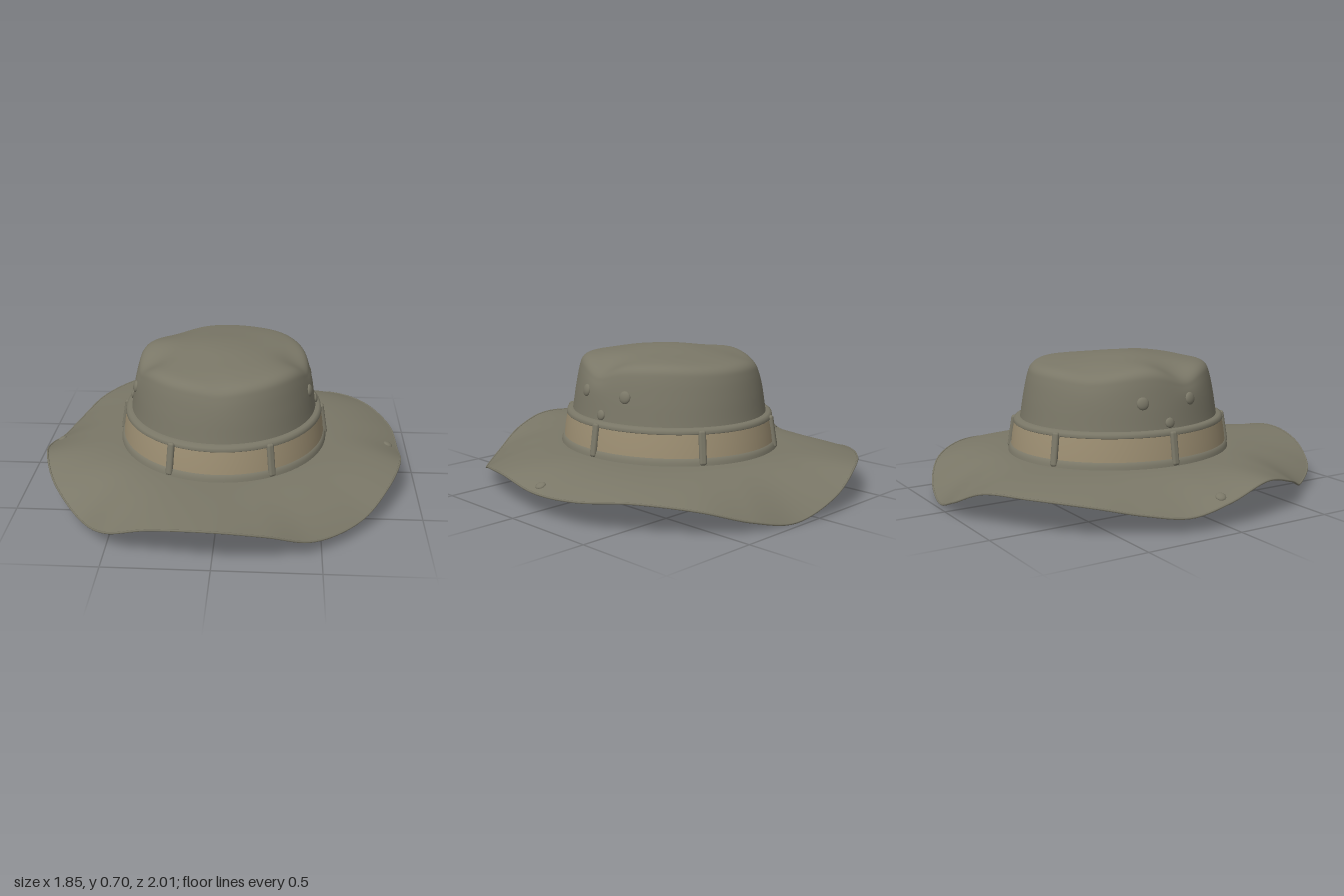
import * as THREE from 'three';
import { RoundedBoxGeometry } from 'three/addons/geometries/RoundedBoxGeometry.js';

const OVAL = 1.09; // head opening is longer front to back
const CZ = -0.02;

// Brim edge, counted from the front centre round by the left side
const EDGE = [
  [0, .2, 1], [.24, .155, .95], [.46, .075, .845], [.69, .07, .635], [.83, .13, .42], [.91, .155, .185],
  [.92, .12, -.05], [.9, .13, -.32], [.775, .15, -.58], [.59, .12, -.79], [.375, .05, -.91], [.14, .007, -.97],
  [-.12, .08, -1], [-.34, .165, -.95], [-.55, .17, -.82], [-.735, .145, -.61], [-.83, .1, -.4], [-.895, .075, -.2],
  [-.92, .12, 0], [-.89, .18, .24], [-.815, .13, .45], [-.655, .05, .66], [-.5, .09, .85], [-.29, .17, .95],
];

// Dents and bumps of the soft crown: x, z, height, spread
const DENTS = [
  [.42, .04, -.045, .08], [-.4, .1, -.045, .08], [0, .47, -.014, .07], [-.3, -.38, -.02, .1],
  [.3, -.3, .01, .12], [-.36, -.1, .012, .08], [.3, .3, .008, .1], [-.07, 0, .008, .12],
];

// Oval ring point at angle a (0 = front) and radius r
const oval = (a, r, y) => new THREE.Vector3(r * Math.sin(a), y, r * OVAL * Math.cos(a) + CZ);

// Closed surface of revolution-like rings: fn(u, v) gives each point
function ringSurface(nu, nv, fn) {
  const pos = [], idx = [];
  for (let j = 0; j <= nv; j++) {
    for (let i = 0; i < nu; i++) pos.push(...fn(i / nu, j / nv).toArray());
  }
  for (let j = 0; j < nv; j++) {
    for (let i = 0; i < nu; i++) {
      const k = (i + 1) % nu;
      const a = j * nu + i, b = j * nu + k, c = a + nu, d = b + nu;
      idx.push(a, b, c, b, d, c);
    }
  }
  const g = new THREE.BufferGeometry();
  g.setAttribute('position', new THREE.Float32BufferAttribute(pos, 3));
  g.setIndex(idx);
  g.computeVertexNormals();
  return g;
}

// Oval strip swept from a profile of [radius, y] points
function strip(profile) {
  const n = profile.length - 1;
  return ringSurface(96, n, (u, v) => oval(u * Math.PI * 2, ...profile[Math.round(v * n)]));
}

export function createModel() {
  const hat = new THREE.Group();
  hat.name = 'brimmedHat';
  const cloth = new THREE.MeshStandardMaterial({ name: 'oliveCloth', color: 0x7a7767, side: THREE.DoubleSide });
  const tan = new THREE.MeshStandardMaterial({ name: 'tanBand', color: 0x9c8e72, side: THREE.DoubleSide });

  const add = (name, geometry, material = cloth) => {
    const m = new THREE.Mesh(geometry, material);
    m.name = name;
    hat.add(m);
    return m;
  };

  // Wavy brim: flat at the crown, falling to the edge curve
  const edge = new THREE.CatmullRomCurve3(EDGE.map((p) => new THREE.Vector3(...p)), true);
  const brimPoint = (u, v) => {
    const e = edge.getPoint(u);
    const p = oval(Math.atan2(e.x, e.z - CZ), 0.51, 0.212).lerp(e, v);
    p.y = 0.212 + (e.y - 0.212) * Math.pow(v, 2.2);
    return p;
  };
  add('brim', ringSurface(192, 24, (u, v) => brimPoint(u, 1 - v)));
  add('brimEdge', new THREE.TubeGeometry(edge, 192, 0.005, 6, true));

  // Crown: tapered wall, rounded shoulder and dented dome
  const profile = new THREE.CatmullRomCurve3([
    [.51, .21], [.492, .3], [.478, .38], [.46, .5], [.44, .595], [.426, .632],
    [.4, .653], [.32, .671], [.2, .687], [.1, .697], [.0005, .7],
  ].map(([r, y]) => new THREE.Vector3(r, y, 0)));
  add('crown', ringSurface(128, 60, (u, v) => {
    const q = profile.getPoint(v);
    const p = oval(u * Math.PI * 2, q.x, q.y);
    const soft = THREE.MathUtils.smoothstep(q.y, 0.5, 0.64);
    for (const [x, z, h, s] of DENTS) {
      p.y += soft * h * Math.exp(-((p.x - x) ** 2 + (p.z - z) ** 2) / (2 * s * s));
    }
    return p;
  }));

  // Band with its lower and upper strips
  add('bandBase', strip([[.537, .207], [.534, .225], [.526, .245], [.51, .246]]));
  add('band', strip([[.523, .24], [.516, .3], [.505, .362]]), tan);
  add('bandTop', strip([[.506, .356], [.51, .36], [.506, .376], [.495, .382], [.477, .384]]));

  // Belt loops standing over the band
  for (const [x, z] of [[-.23, .49], [.26, .48], [-.23, -.52], [.26, -.5], [.51, -.03], [-.51, -.03]]) {
    const a = Math.atan2(x, (z - CZ) / OVAL);
    const loop = add('beltLoop', new RoundedBoxGeometry(0.036, 0.165, 0.026, 3, 0.012));
    loop.position.copy(oval(a, 0.52, 0.295));
    loop.rotation.order = 'YXZ';
    loop.rotation.set(-0.16, Math.atan2(Math.sin(a), Math.cos(a) / OVAL), 0);
  }

  // Domed studs, flattened along the surface normal
  const stud = (name, radius, position, normal) => {
    const m = add(name, new THREE.SphereGeometry(radius, 20, 12));
    m.scale.z = 0.45;
    m.position.copy(position);
    m.lookAt(position.clone().add(normal));
  };
  for (const side of [1, -1]) {
    const wallStud = (name, radius, r, y, z) => {
      const c = (z - CZ) / (OVAL * r), s = side * Math.sqrt(1 - c * c);
      stud(name, radius, new THREE.Vector3(r * s, y, z), new THREE.Vector3(s, 0.18, c / OVAL));
    };
    wallStud('ventEyelet', 0.031, 0.457, 0.512, 0.115);
    wallStud('ventEyelet', 0.031, 0.457, 0.512, -0.16);
    wallStud('sideKnob', 0.025, 0.476, 0.412, -0.028);
    // Snap near the brim edge
    const u = side > 0 ? 6 / 24 : 17.9 / 24;
    const v = 0.88;
    const p = brimPoint(u, v);
    const n = brimPoint(u + 0.01, v).sub(p).cross(brimPoint(u, v + 0.05).sub(p));
    if (n.y < 0) n.negate();
    stud('brimSnap', 0.025, p, n);
  }
  return hat;
}
